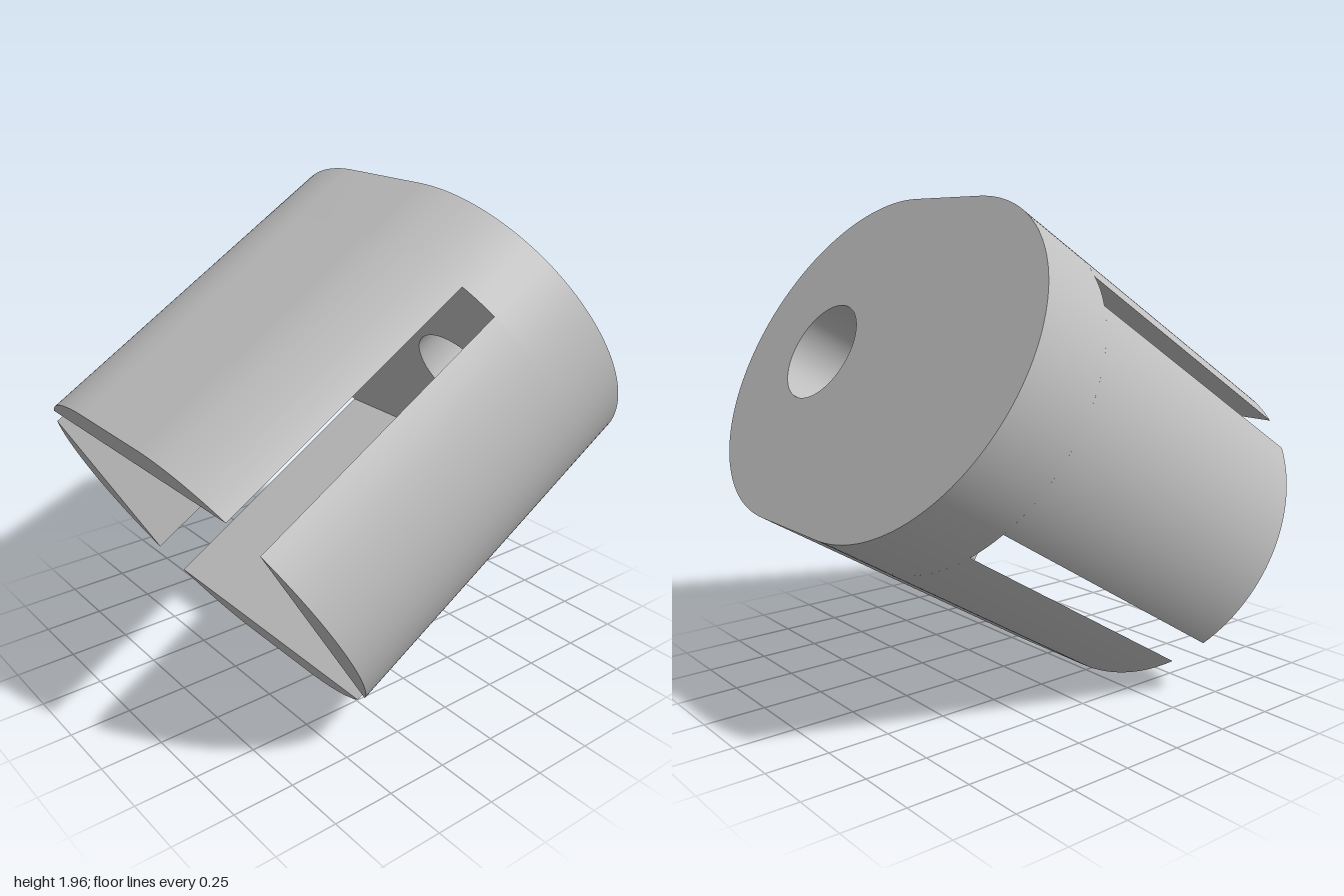
import * as THREE from 'three';
import { toCreasedNormals } from 'three/addons/utils/BufferGeometryUtils.js';

const R = 0.695;        // radius of the rounded sides
const C = 0.205;        // offset of each arc centre from the middle
const HALF = 0.748;     // half the body length
const FLOOR = -0.443;   // where the cavity ends and the end cap begins
const CAVITY_X = 0.75, CAVITY_Y = 0.541;  // half sizes of the rectangular cavity

export function createModel() {
  const grey = new THREE.MeshStandardMaterial({ color: 0xc0c0c0 });
  grey.name = 'grey';

  const model = new THREE.Group();
  model.name = 'slottedHousing';
  const body = new THREE.Group();
  body.name = 'tiltedBody';
  body.position.y = 0.983;
  body.rotation.x = 0.544;
  model.add(body);

  const add = (name, shape, from, to, turn = 0) => {
    const geometry = new THREE.ExtrudeGeometry(shape, {
      depth: to - from, bevelEnabled: false, curveSegments: 40,
    });
    const mesh = new THREE.Mesh(toCreasedNormals(geometry, 0.4), grey);
    mesh.name = name;
    mesh.position.z = from;
    mesh.rotation.z = turn;
    body.add(mesh);
  };

  // Solid end cap with an off-centre through hole
  const cap = new THREE.Shape();
  cap.absarc(C, 0, R, -Math.PI / 2, Math.PI / 2);
  cap.absarc(-C, 0, R, Math.PI / 2, Math.PI * 1.5);
  cap.closePath();
  cap.holes.push(new THREE.Path().absarc(0.36, 0, 0.207, 0, Math.PI * 2, true));
  add('endCap', cap, -HALF, FLOOR);

  // Side walls: arc slices cut off by the cavity's vertical faces
  const a = Math.acos((CAVITY_X - C) / R);
  const side = new THREE.Shape();
  side.absarc(C, 0, R, -a, a);
  side.closePath();
  add('leftWall', side, FLOOR, HALF);
  add('rightWall', side, FLOOR, HALF, Math.PI);

  // Upper and lower walls: flat in the middle, rounded to the corner slots
  const b = Math.asin(CAVITY_Y / R);
  const slab = new THREE.Shape();
  slab.absarc(C, 0, R, b, Math.PI / 2);
  slab.absarc(-C, 0, R, Math.PI / 2, Math.PI - b);
  slab.closePath();
  add('upperWall', slab, FLOOR, HALF);
  add('lowerWall', slab, FLOOR, HALF, Math.PI);

  return model;
}
